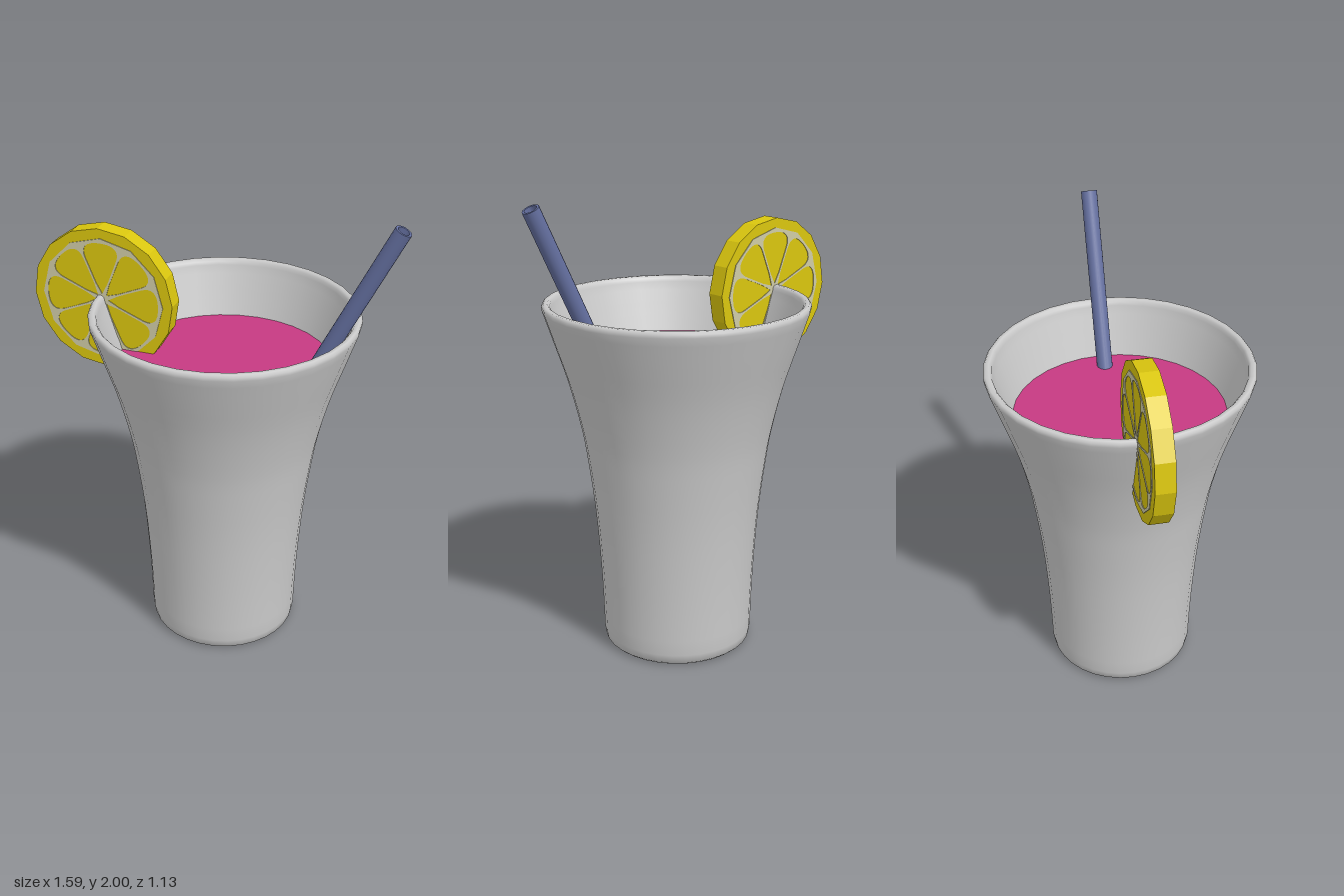
import * as THREE from 'three';
import { toCreasedNormals } from 'three/addons/utils/BufferGeometryUtils.js';

const mat = (name, color, extra = {}) => {
  const m = new THREE.MeshStandardMaterial({ color, ...extra });
  m.name = name;
  return m;
};

// Turned part from [radius, height] pairs, with sharp corners kept sharp
const turned = (pairs, sides, crease) =>
  toCreasedNormals(new THREE.LatheGeometry(pairs.map(([r, y]) => new THREE.Vector2(r, y)), sides), crease);

const CUP_X = 0.055;

export function createModel() {
  const glass = mat('cup grey', 0xcacaca);
  const drink = mat('drink pink', 0xc63a82);
  const yellow = mat('lemon yellow', 0xdac60e, { flatShading: true });
  const pith = mat('pith cream', 0xcfcba6);
  const blue = mat('straw blue', 0x646f9f);

  const model = new THREE.Group();
  const add = (name, geometry, material, parent = model) => {
    const mesh = new THREE.Mesh(geometry, material);
    mesh.name = name;
    parent.add(mesh);
    return mesh;
  };

  // Flared cup: outer wall up, over the rim, inner wall down to the floor
  const wall = new THREE.SplineCurve([
    [0.33, 0.05], [0.338, 0.3], [0.358, 0.6], [0.388, 0.85],
    [0.413, 1.0], [0.462, 1.2], [0.52, 1.38], [0.564, 1.515],
  ].map(([r, y]) => new THREE.Vector2(r, y))).getPoints(20).map((p) => [p.x, p.y]);
  const inner = wall.map(([r, y]) => [r - 0.036, y]).reverse();
  const cupProfile = [
    [0, 0], [0.308, 0], [0.324, 0.014], ...wall,
    [0.565, 1.53], [0.557, 1.54], [0.54, 1.54], [0.531, 1.53],
    ...inner, [0, 0.05],
  ];
  add('cup', turned(cupProfile, 32, 0.9), glass).position.x = CUP_X;

  // Drink surface
  const surface = add('drink', new THREE.CircleGeometry(0.456, 32), drink);
  surface.rotation.x = -Math.PI / 2;
  surface.position.set(CUP_X, 1.3, 0);

  // Hollow straw, origin at its top end
  const L = 1.4;
  const straw = add('straw', turned([
    [0.027, -L], [0.035, -L], [0.035, 0], [0.025, 0], [0.025, -L],
  ], 16, 0.7), blue);
  straw.position.set(0.765, 1.985, 0.005);
  straw.rotation.z = -THREE.MathUtils.degToRad(26);

  // Lemon slice on the rim
  const lemon = new THREE.Group();
  lemon.name = 'lemonSlice';
  lemon.position.set(-0.48, 1.521, -0.003);
  model.add(lemon);
  const rind = new THREE.CylinderGeometry(0.316, 0.316, 0.08, 16);
  rind.rotateX(Math.PI / 2).rotateZ(THREE.MathUtils.degToRad(2));
  add('lemonBody', rind, yellow, lemon);

  // Pith: a thin disc with eight rounded segment openings
  const disc = new THREE.Shape().absarc(0, 0, 0.274, 0, Math.PI * 2);
  const half = Math.PI / 8;
  for (let i = 0; i < 8; i++) {
    const at = (r, a) => {
      const t = Math.PI / 2 + i * Math.PI / 4 + a;
      return [r * Math.cos(t), r * Math.sin(t)];
    };
    const edge = half - 0.024;
    const hole = new THREE.Path();
    hole.moveTo(...at(0.026, 0));
    hole.lineTo(...at(0.08, -half + 0.05));
    hole.lineTo(...at(0.195, -edge));
    hole.quadraticCurveTo(...at(0.25, -edge), ...at(0.252, -edge * 0.45));
    hole.quadraticCurveTo(...at(0.258, 0), ...at(0.252, edge * 0.45));
    hole.quadraticCurveTo(...at(0.25, edge), ...at(0.195, edge));
    hole.lineTo(...at(0.08, half - 0.05));
    hole.closePath();
    disc.holes.push(hole);
  }
  const plate = new THREE.ExtrudeGeometry(disc, { depth: 0.003, bevelEnabled: false, curveSegments: 6 });
  add('pithFront', plate, pith, lemon).position.z = 0.04;
  const back = add('pithBack', plate, pith, lemon);
  back.position.z = -0.04;
  back.rotation.y = Math.PI;

  return model;
}
